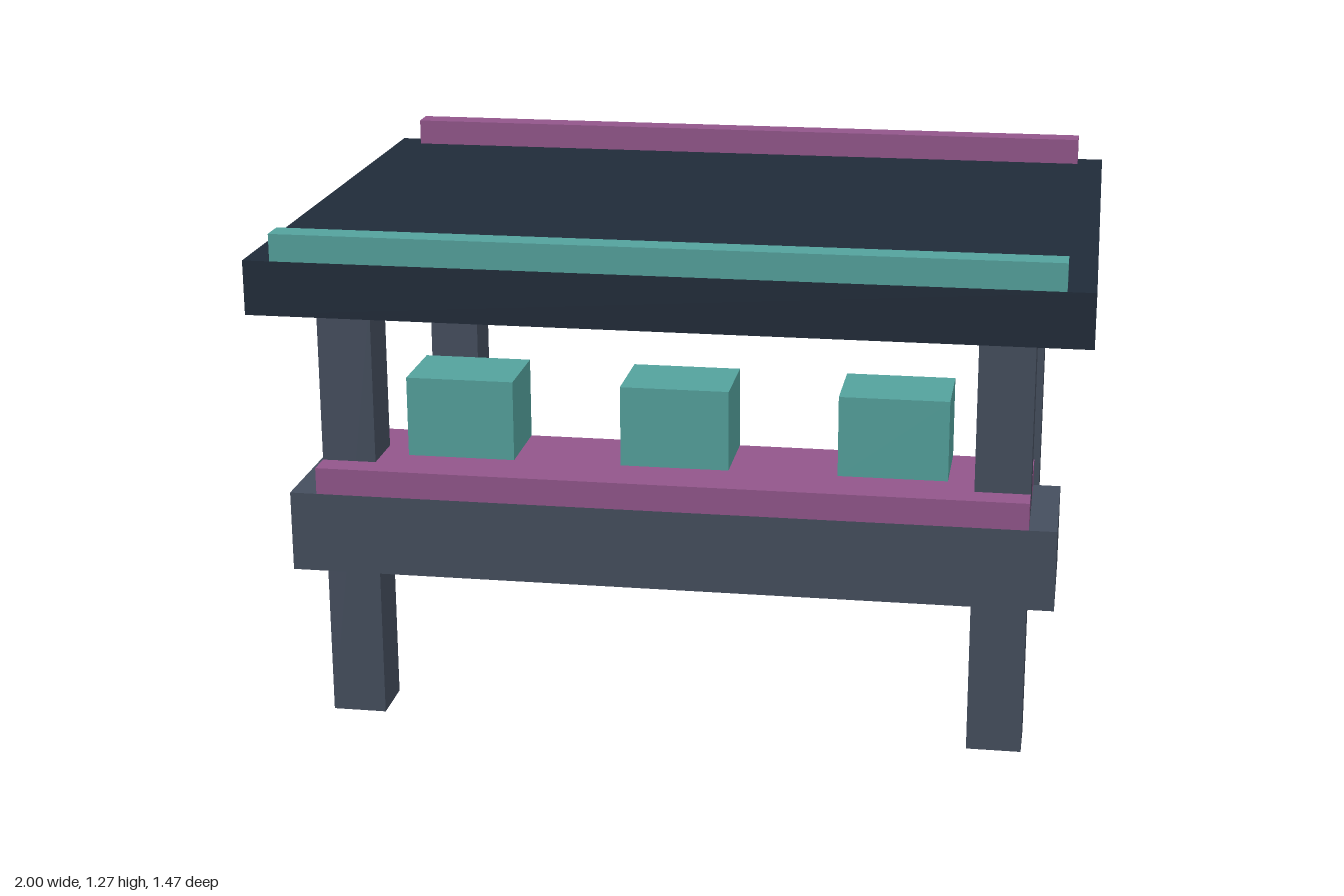
import * as THREE from 'three';

const U = 1 / 15; // modelling unit

const mat = (color) => new THREE.MeshStandardMaterial({ color, flatShading: true });

export function createModel() {
  const group = new THREE.Group();
  const slate = mat(0x454e5e);
  const dark = mat(0x202b39);
  const teal = mat(0x54a29d);
  const purple = mat(0x92568b);

  // box given by its min and max corners, in units
  const box = (name, material, [x0, y0, z0], [x1, y1, z1]) => {
    const geometry = new THREE.BoxGeometry((x1 - x0) * U, (y1 - y0) * U, (z1 - z0) * U);
    const mesh = new THREE.Mesh(geometry, material);
    mesh.position.set((x0 + x1) / 2 * U, (y0 + y1) / 2 * U, (z0 + z1) / 2 * U);
    mesh.name = name;
    group.add(mesh);
  };

  // four corner posts
  for (const [side, x] of [['Left', 12], ['Right', -12]]) {
    for (const [end, z] of [['front', 8], ['back', -8]]) {
      box(`${end}${side}Post`, slate, [x - 1, 0, z - 1], [x + 1, 16, z + 1]);
    }
  }

  // counter with its cloth
  box('counter', slate, [-14, 6, 5], [14, 9, 10]);
  box('counterCloth', purple, [-13, 9, 5], [13, 10, 10]);

  // goods on the counter
  [-8, 0, 8].forEach((x, i) => box(`goodsBox${i + 1}`, teal, [x - 2, 10, 5], [x + 2, 13, 8]));

  // flat roof with a trim strip along the front and back edges
  box('roof', dark, [-15, 16, -11], [15, 18, 11]);
  box('frontTrim', teal, [-14, 18, 10], [14, 19, 11]);
  box('backTrim', purple, [-14, 18, -11], [14, 19, -10]);

  return group;
}
